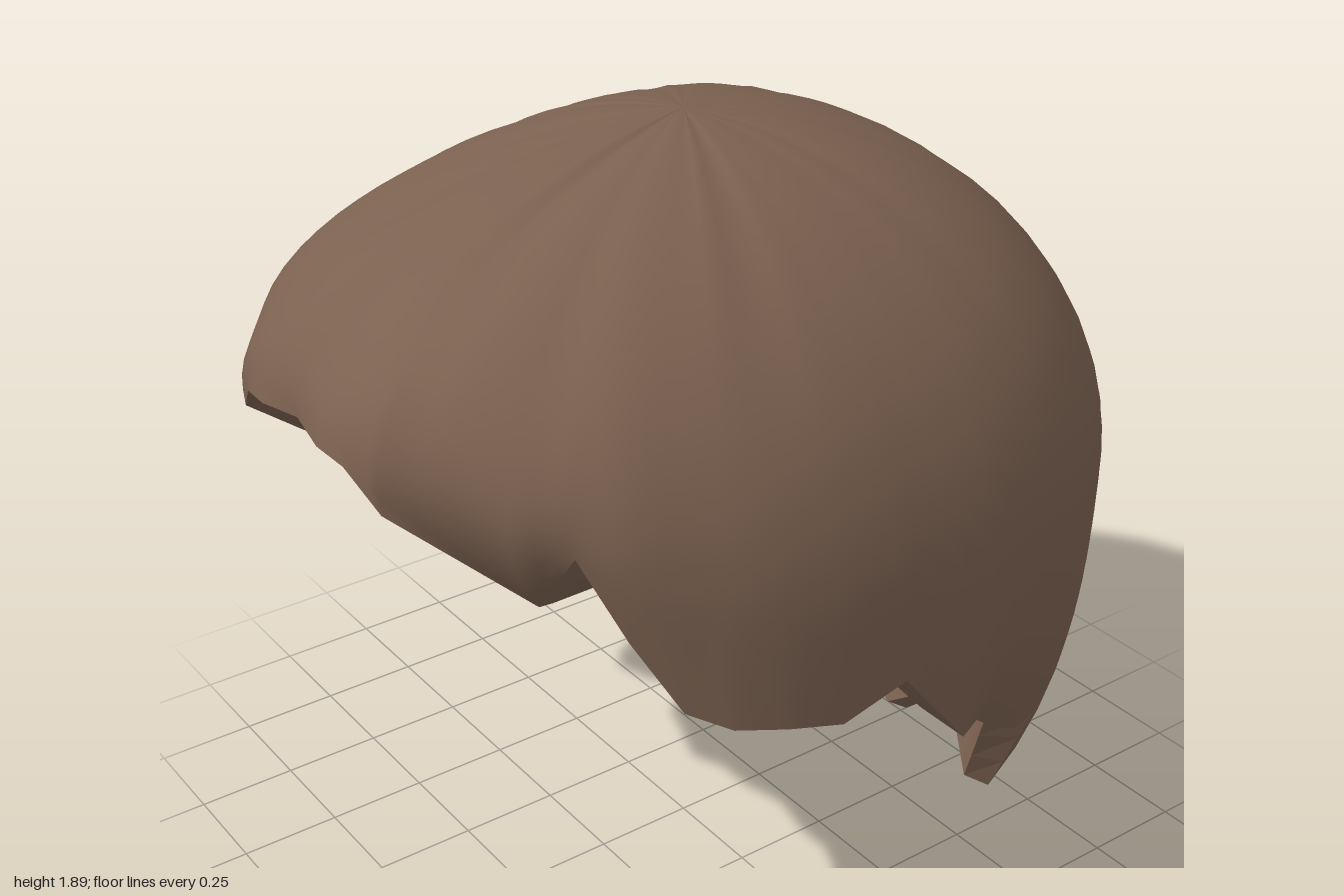
import * as THREE from 'three';

// Matching points [x, y, z] of the hairline, from front centre round the left side to the nape
const OUTER_EDGE = [
  [0, 1.43, 0.97], [0.12, 1.42, 0.99], [0.21, 1.41, 0.98], [0.3, 1.33, 0.95], [0.45, 1.1, 0.69],
  [0.62, 1.3, 0.71], [0.67, 1.1, 0.62], [0.73, 0.93, 0.53], [0.79, 0.89, 0.45], [0.83, 0.87, 0.34],
  [0.85, 0.84, 0.21], [0.85, 0.88, 0.04], [0.82, 0.63, -0.17], [0.71, 0.55, -0.32], [0.67, 0.46, -0.43],
  [0.62, 0.38, -0.55], [0.58, 0.36, -0.65], [0.46, 0.07, -0.64], [0.32, 0.17, -0.71], [0.18, 0.16, -0.76],
  [0, 0, -0.77],
];
const INNER_EDGE = [
  [0, 1.21, 0.68], [0.09, 1.21, 0.68], [0.18, 1.2, 0.68], [0.28, 1.16, 0.67], [0.44, 1.09, 0.65],
  [0.52, 1.15, 0.58], [0.57, 1.04, 0.53], [0.62, 0.9, 0.47], [0.64, 0.87, 0.41], [0.66, 0.87, 0.31],
  [0.68, 0.86, 0.2], [0.68, 0.88, 0.05], [0.68, 0.63, -0.17], [0.65, 0.55, -0.3], [0.61, 0.48, -0.4],
  [0.56, 0.39, -0.5], [0.52, 0.36, -0.55], [0.42, 0.1, -0.59], [0.31, 0.19, -0.65], [0.17, 0.18, -0.69],
  [0, 0.05, -0.7],
];
const SUB = 3;
const ROWS = 24;

// Subdivide one half of the hairline and mirror it into a closed loop
function closedEdge(half) {
  const pts = [];
  for (let i = 0; i < half.length - 1; i++) {
    for (let s = 0; s < SUB; s++) {
      pts.push(new THREE.Vector3(...half[i]).lerp(new THREE.Vector3(...half[i + 1]), s / SUB));
    }
  }
  pts.push(new THREE.Vector3(...half[half.length - 1]));
  const mirrored = pts.slice(1, -1).reverse().map((p) => new THREE.Vector3(-p.x, p.y, p.z));
  return pts.concat(mirrored);
}

// Skin rows of equal length; every row is a closed loop
function loft(rows) {
  const n = rows[0].length;
  const position = rows.flat().flatMap((p) => [p.x, p.y, p.z]);
  const index = [];
  for (let j = 0; j < rows.length - 1; j++) {
    for (let i = 0; i < n; i++) {
      const k = (i + 1) % n;
      const a = j * n + i, b = j * n + k, c = a + n, d = b + n;
      index.push(a, c, d, a, d, b);
    }
  }
  const g = new THREE.BufferGeometry();
  g.setAttribute('position', new THREE.Float32BufferAttribute(position, 3));
  g.setIndex(index);
  g.computeVertexNormals();
  return g;
}

// Rows running from the crown down to the given hairline
function domeRows(edge, o) {
  const rows = [];
  for (let j = 0; j <= ROWS; j++) {
    const t = j / ROWS;
    rows.push(edge.map((e) => {
      const angle = Math.atan2(e.x, e.z);
      const s = Math.abs(Math.sin(angle)), c = Math.cos(angle);
      const front = Math.max(0, c) ** 2;
      const depth = c > 0 ? o.front : o.back;
      const reach = ((s / o.side) ** o.square + (Math.abs(c) / depth) ** o.square) ** (-1 / o.square);
      const mid = o.mid + o.fringe * front;
      // Rounded above the widest level, tapering to the nape below it
      const profile = (y) => (y > mid
        ? Math.sqrt(Math.max(0, 1 - ((y - mid) / (o.top - mid)) ** 2)) ** (1 + o.fringe * 0.6 * front)
        : 1 - 0.23 * ((mid - y) / mid) ** o.taper);
      let y = o.top - (o.top - e.y) * (1 - Math.cos(t * Math.PI / 2));
      // Curl in to meet the hairline
      const fit = Math.hypot(e.x, e.z) / (reach * profile(e.y));
      let r = reach * profile(y) * (1 + (fit - 1) * t ** o.curl);
      // Locks swept forward over the fringe, and fine partings around the crown
      const wave = Math.sin(angle * 13 + 5 * t) + 0.6 * Math.sin(angle * 21 - 4 * t);
      r *= 1 + o.locks * front * wave * Math.sin(Math.PI * t);
      const parting = Math.sin(angle * 11 + 1) * Math.sin(angle * 4) ** 2;
      y -= o.locks * (0.5 + 0.5 * front) * Math.abs(parting) * Math.sin(Math.PI * Math.min(1, t * 1.6));
      return new THREE.Vector3(Math.sin(angle) * r, y, c * r);
    }));
  }
  return rows;
}

export function createModel() {
  const hair = new THREE.MeshStandardMaterial({ color: 0x7b6150 });
  hair.name = 'brownHair';
  const group = new THREE.Group();
  group.name = 'hair';
  const add = (name, geometry) => {
    const mesh = new THREE.Mesh(geometry, hair);
    mesh.name = name;
    group.add(mesh);
  };

  const outer = closedEdge(OUTER_EDGE);
  const inner = closedEdge(INNER_EDGE);

  // Outside of the hair
  add('outerHair', loft(domeRows(outer, {
    side: 0.865, front: 0.99, back: 0.99, top: 1.89, mid: 1.05, fringe: 0.35,
    square: 2.3, taper: 3, locks: 0.014, curl: 8,
  })));

  // Hollow that sits on the head, turned to face inwards
  add('innerHair', loft(domeRows(inner, {
    side: 0.71, front: 0.76, back: 0.84, top: 1.65, mid: 0.92, fringe: 0,
    square: 2, taper: 2, locks: 0, curl: 4,
  }).reverse()));

  // Cut ends joining the outside and the hollow
  const ends = loft([outer, inner]).toNonIndexed();
  ends.computeVertexNormals();
  add('hairEnds', ends);

  return group;
}
